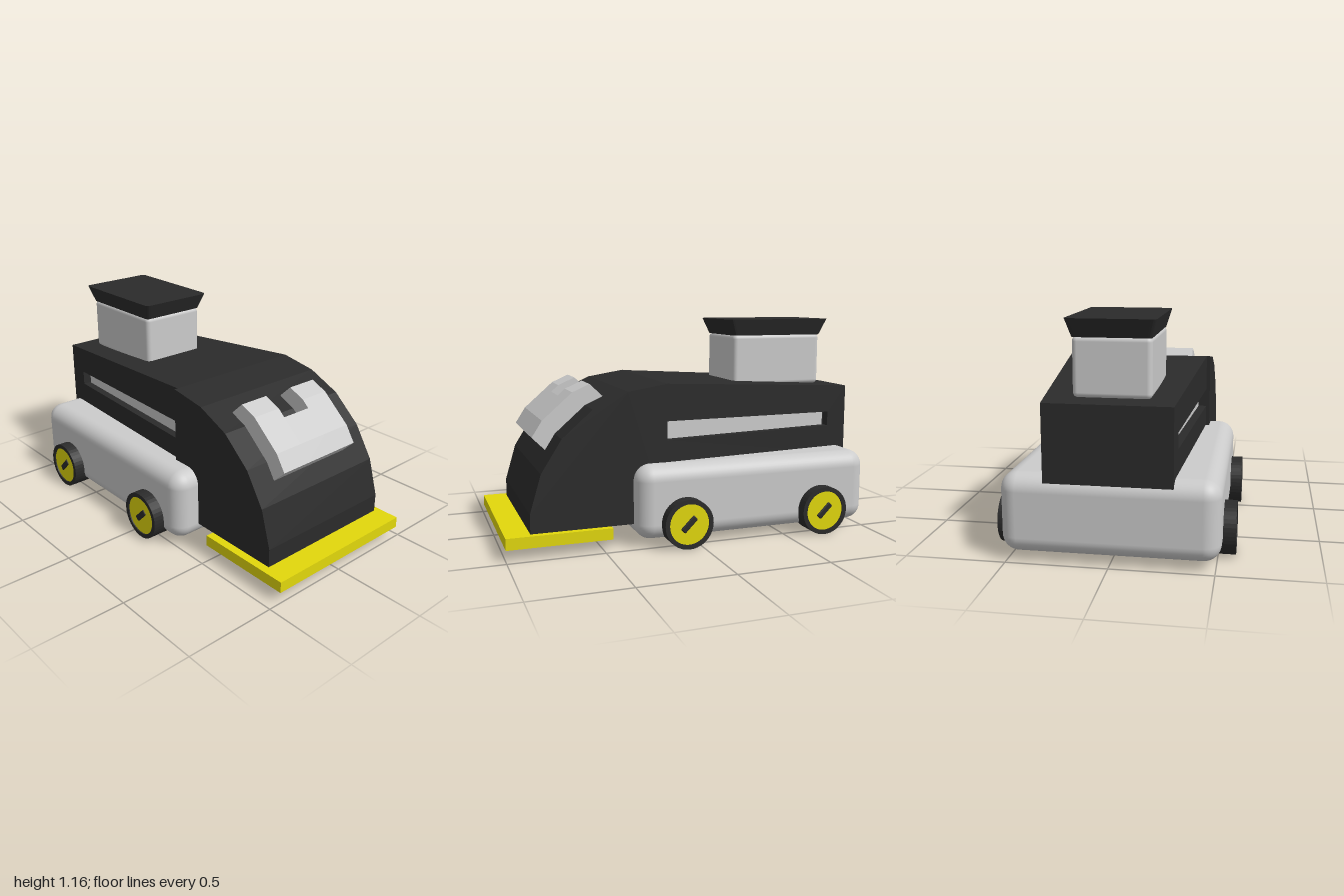
import * as THREE from 'three';
import { RoundedBoxGeometry } from 'three/addons/geometries/RoundedBoxGeometry.js';

const grey = new THREE.MeshStandardMaterial({ color: 0xcccccc });
const dark = new THREE.MeshStandardMaterial({ color: 0x2b2b2b });
const yellow = new THREE.MeshStandardMaterial({ color: 0xe2d80c });

export function createModel() {
  const model = new THREE.Group();
  model.name = 'vehicle';

  function add(name, geometry, material, x = 0, y = 0, z = 0, parent = model) {
    const mesh = new THREE.Mesh(geometry, material);
    mesh.name = name;
    mesh.position.set(x, y, z);
    parent.add(mesh);
    return mesh;
  }

  // Side profile in x/y, spanned between two z limits that may vary with x
  function slab(points, zLow, zHigh) {
    const shape = new THREE.Shape(points.map(p => new THREE.Vector2(...p)));
    const geo = new THREE.ExtrudeGeometry(shape, { depth: 1, bevelEnabled: false });
    const pos = geo.attributes.position;
    for (let i = 0; i < pos.count; i++) {
      const x = pos.getX(i);
      pos.setZ(i, THREE.MathUtils.lerp(zLow(x), zHigh(x), pos.getZ(i)));
    }
    geo.computeVertexNormals();
    return geo;
  }
  const at = z => () => z;

  // Rounded chassis
  add('chassis', new RoundedBoxGeometry(1.335, 0.395, 1.055, 5, 0.085), grey, -0.3325, 0.2375, -0.002);

  // Tapered rear body: a core, with slotted side walls over it
  const x0 = -0.985, x1 = 0.15, depth = 0.05;
  const along = (a, b) => x => a + (b - a) * (x - x0) / (x1 - x0);
  const zFront = along(0.305, 0.365), zBack = along(-0.31, -0.44);
  const shift = (f, d) => x => f(x) + d;
  const outline = [[x0, 0.38], [x1, 0.38], [x1, 0.845], [x0, 0.78]];
  const slotted = [[x0, 0.38], [x1, 0.38], [x1, 0.55], [-0.865, 0.555],
    [-0.865, 0.635], [x1, 0.65], [x1, 0.845], [x0, 0.78]];
  const panel = [[-0.855, 0.54], [x1, 0.54], [x1, 0.66], [-0.855, 0.645]];
  add('bodyCore', slab(outline, shift(zBack, depth), shift(zFront, -depth)), dark);
  add('leftSlotWall', slab(slotted, shift(zFront, -depth), zFront), dark);
  add('rightSlotWall', slab(slotted, zBack, shift(zBack, depth)), dark);
  add('frontSlotPanel', slab(panel, shift(zFront, -depth - 0.01), shift(zFront, -depth + 0.006)), grey);
  add('backSlotPanel', slab(panel, shift(zBack, depth - 0.006), shift(zBack, depth + 0.01)), grey);

  // Curved hood
  add('hood', slab([[0.15, 0.12], [0.872, 0.12], [0.872, 0.22], [0.813, 0.42], [0.705, 0.59],
    [0.545, 0.73], [0.36, 0.812], [0.15, 0.845]], at(-0.44), at(0.385)), dark);

  // Notched plate on the hood: two prongs joined by a shorter middle
  const prong = [[0.45, 0.775], [0.6, 0.64], [0.755, 0.505], [0.825, 0.575],
    [0.77, 0.66], [0.61, 0.8], [0.518, 0.84]];
  const middle = [[0.54, 0.665], [0.755, 0.505], [0.825, 0.575], [0.77, 0.66], [0.65, 0.765]];
  add('hoodPlateLeft', slab(prong, at(0.08), at(0.25)), grey);
  add('hoodPlateMiddle', slab(middle, at(-0.097), at(0.08)), grey);
  add('hoodPlateRight', slab(prong, at(-0.27), at(-0.097)), grey);

  // Low blade
  add('blade', new THREE.BoxGeometry(0.545, 0.06, 0.905), yellow, 0.7275, 0.09, -0.0225);

  // Cabin with a flared roof
  add('cabin', new RoundedBoxGeometry(0.54, 0.29, 0.378, 4, 0.025), grey, -0.605, 0.93, 0.001);
  const w = 0.3075, d = 0.215, r = 0.025;
  const roofShape = new THREE.Shape();
  roofShape.moveTo(-w + r, -d).lineTo(w - r, -d).quadraticCurveTo(w, -d, w, -d + r)
    .lineTo(w, d - r).quadraticCurveTo(w, d, w - r, d)
    .lineTo(-w + r, d).quadraticCurveTo(-w, d, -w, d - r)
    .lineTo(-w, -d + r).quadraticCurveTo(-w, -d, -w + r, -d);
  const roof = new THREE.ExtrudeGeometry(roofShape, { depth: 0.09, bevelEnabled: false, curveSegments: 4 });
  roof.rotateX(-Math.PI / 2);
  const rp = roof.attributes.position;
  for (let i = 0; i < rp.count; i++) {
    if (rp.getY(i) < 0.01) {
      rp.setX(i, rp.getX(i) * 0.88);
      rp.setZ(i, rp.getZ(i) * 0.88);
    }
  }
  roof.computeVertexNormals();
  add('roof', roof, dark, -0.607, 1.07, 0);

  // Wheels: tyre ring, hub disc and slanted bar
  const tyreShape = new THREE.Shape();
  tyreShape.absarc(0, 0, 0.132, 0, Math.PI * 2);
  const tyreHole = new THREE.Path();
  tyreHole.absarc(0, 0, 0.108, 0, Math.PI * 2, true);
  tyreShape.holes.push(tyreHole);
  const tyre = new THREE.ExtrudeGeometry(tyreShape, { depth: 0.115, bevelEnabled: false, curveSegments: 20 });
  const hub = new THREE.CylinderGeometry(0.109, 0.109, 0.105, 40).rotateX(Math.PI / 2);
  const bar = new RoundedBoxGeometry(0.1, 0.034, 0.016, 2, 0.007);
  for (const side of [1, -1]) {
    for (const x of [-0.71, 0.08]) {
      const wheel = new THREE.Group();
      wheel.name = (side > 0 ? 'left' : 'right') + (x > 0 ? 'Front' : 'Rear') + 'Wheel';
      wheel.position.set(x, 0.132, side * 0.472);
      wheel.rotation.y = side > 0 ? 0 : Math.PI;
      add('tyre', tyre, dark, 0, 0, 0, wheel);
      add('hub', hub, yellow, 0, 0, 0.056, wheel);
      add('hubBar', bar, dark, 0, 0, 0.107, wheel).rotation.z = Math.PI / 4;
      model.add(wheel);
    }
  }
  return model;
}
